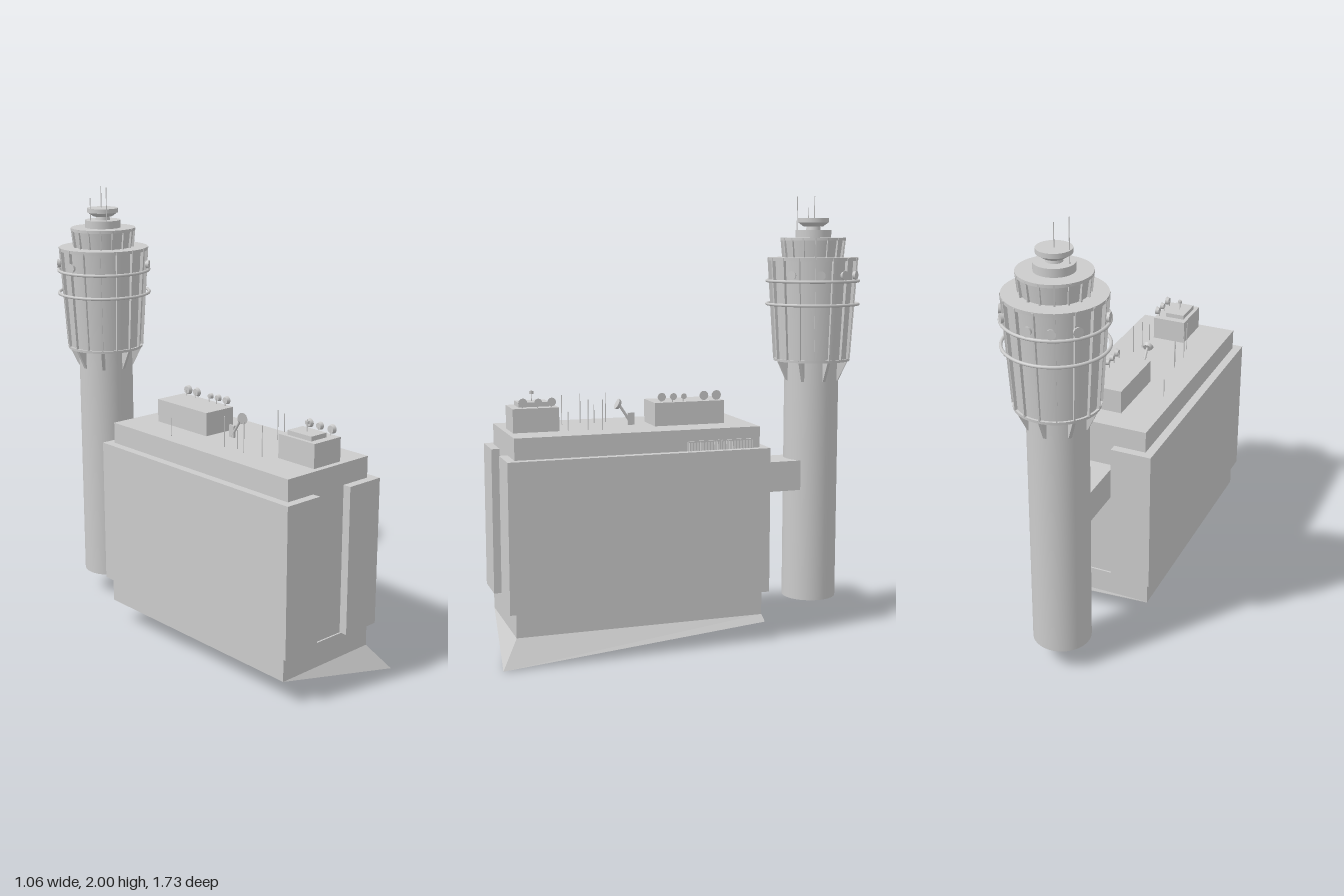
import * as THREE from 'three';

const mat = new THREE.MeshStandardMaterial({ color: 0xcccccc, side: THREE.DoubleSide });

function add(parent, name, geo, x = 0, y = 0, z = 0) {
  const m = new THREE.Mesh(geo, mat);
  m.name = name;
  m.position.set(x, y, z);
  parent.add(m);
  return m;
}
// box given by its bottom height and top height
const block = (p, name, w, y0, y1, d, x = 0, z = 0) =>
  add(p, name, new THREE.BoxGeometry(w, y1 - y0, d), x, (y0 + y1) / 2, z);
// upright cylinder or cone section
const drum = (p, name, r0, r1, y0, y1, x = 0, z = 0, sides = 48) =>
  add(p, name, new THREE.CylinderGeometry(r1, r0, y1 - y0, sides), x, (y0 + y1) / 2, z);
const rod = (p, name, x, z, y0, y1) => drum(p, name, 0.002, 0.002, y0, y1, x, z, 6);

// small drum antenna facing +x
function dish(p, x, y, z, r) {
  const m = add(p, 'dishAntenna', new THREE.CylinderGeometry(r, r * 0.8, 0.016, 16), x, y, z);
  m.rotation.z = -Math.PI / 2;
  return m;
}

// radial plate: profile of [radius, height] points turned to an angle
function plate(p, name, pts, angle, t = 0.007) {
  const s = new THREE.Shape(pts.map(([r, y]) => new THREE.Vector2(r, y)));
  const g = new THREE.ExtrudeGeometry(s, { depth: t, bevelEnabled: false });
  g.translate(0, 0, -t / 2);
  add(p, name, g).rotation.y = angle;
}

function building() {
  const b = new THREE.Group();
  b.name = 'building';

  // sloping foundation, its lower corners moved onto the hillside
  const foot = new THREE.BoxGeometry(0.508, 0.1, 1.13).toNonIndexed();
  const pos = foot.attributes.position;
  for (let i = 0; i < pos.count; i++) {
    const right = pos.getX(i) > 0, front = pos.getZ(i) > 0;
    if (pos.getY(i) > 0) pos.setY(i, 0.112);
    else if (right && front) pos.setXYZ(i, 0.338, 0, 0.641);
    else if (right) pos.setXYZ(i, 0.28, 0.083, -0.573);
    else pos.setY(i, 0.108);
  }
  foot.computeVertexNormals();
  add(b, 'foundation', foot);

  block(b, 'base', 0.508, 0.11, 0.22, 1.13);
  block(b, 'core', 0.47, 0.22, 0.975, 1.115);

  // cladding wraps each long side and leaves a central slot at both ends
  for (const s of [-1, 1]) {
    block(b, 'sideCladding', 0.038, 0.22, 0.88, 1.19, s * 0.254);
    for (const e of [-1, 1])
      block(b, 'endCladding', 0.146, 0.22, 0.88, 0.04, s * 0.163, e * 0.575);
  }
  block(b, 'bridge', 0.176, 0.64, 0.78, 0.32, 0, -0.7);

  // louvred vents below the roof edge
  for (const z0 of [-0.363, -0.522]) {
    block(b, 'ventFrame', 0.008, 0.917, 0.924, 0.146, 0.238, z0 + 0.073);
    for (let i = 0; i <= 20; i++)
      block(b, 'ventSlat', 0.01, 0.88, 0.922, 0.003, 0.238, z0 + i * 0.0073);
  }

  // rooftop plant rooms and their antennas
  block(b, 'rearPlantRoom', 0.16, 0.97, 1.08, 0.33, 0.009, -0.276);
  block(b, 'frontPlantRoom', 0.155, 0.97, 1.08, 0.205, 0.015, 0.43);
  block(b, 'plantRoomHatch', 0.09, 1.08, 1.1, 0.135, 0, 0.43);
  rod(b, 'hatchMast', 0, 0.43, 1.09, 1.15);
  drum(b, 'mastHead', 0.01, 0.01, 1.133, 1.145, 0, 0.43, 12);
  const dishes = [[-0.405, 0.022], [-0.345, 0.021], [-0.25, 0.013], [-0.2, 0.016], [-0.145, 0.019],
    [0.36, 0.019], [0.42, 0.017], [0.488, 0.02]];
  for (const [z, r] of dishes) {
    const x = z > 0 ? 0.085 : 0.078;
    dish(b, x, 1.105, z, r);
    rod(b, 'dishMount', x - 0.008, z, 1.07, 1.105);
  }
  // tilted roof dish on a leaning support
  const big = add(b, 'roofDish', new THREE.CylinderGeometry(0.026, 0.02, 0.014, 20), 0.004, 1.07, 0.035);
  big.rotation.x = 1.1;
  const strut = new THREE.LineCurve3(new THREE.Vector3(0.004, 0.975, -0.03), new THREE.Vector3(0.004, 1.068, 0.03));
  add(b, 'roofDishStrut', new THREE.TubeGeometry(strut, 1, 0.006, 8));
  block(b, 'roofDishFoot', 0.01, 0.97, 1.03, 0.03, 0.004, -0.025);

  // whip antennas between the plant rooms
  [[-0.1, 0.27], [0.1, 0.29], [-0.12, 0.18], [0.1, 0.2], [-0.1, 0.12], [0.12, 0.14], [-0.12, 0.06], [-0.18, -0.22]]
    .forEach(([x, z], i) => rod(b, 'whipAntenna', x, z, 0.97, i % 3 === 1 ? 1.06 : 1.11));
  return b;
}

function tower() {
  const t = new THREE.Group();
  t.name = 'tower';
  drum(t, 'shaft', 0.127, 0.127, 0.11, 1.26);
  drum(t, 'cabin', 0.168, 0.195, 1.25, 1.71);
  drum(t, 'cabinRoof', 0.207, 0.208, 1.705, 1.72);
  drum(t, 'cabinSill', 0.177, 0.178, 1.24, 1.252);
  drum(t, 'upperCabin', 0.132, 0.143, 1.72, 1.8);
  drum(t, 'upperRoof', 0.151, 0.151, 1.797, 1.81);
  drum(t, 'roofCap', 0.083, 0.083, 1.81, 1.845);

  // mullions on both tiers, brackets under every second one
  const n = 16;
  for (let i = 0; i < n; i++) {
    const a = (i / n) * Math.PI * 2;
    plate(t, 'mullion', [[0.16, 1.25], [0.18, 1.25], [0.211, 1.718], [0.185, 1.718]], a);
    plate(t, 'upperMullion', [[0.125, 1.72], [0.143, 1.72], [0.152, 1.808], [0.135, 1.808]], a);
    if (i % 2) plate(t, 'bracket', [[0.12, 1.15], [0.13, 1.15], [0.178, 1.25], [0.12, 1.25]], a, 0.014);
  }
  // hoop rails
  for (const y of [1.505, 1.612]) {
    const ring = add(t, 'hoopRail', new THREE.TorusGeometry(0.213, 0.007, 8, 64), 0, y, 0);
    ring.rotation.x = Math.PI / 2;
  }
  // drum antennas around the upper rail
  for (const deg of [5, 38, 62, 106, 131, 159, 208, 329]) {
    const arm = new THREE.Group();
    arm.name = 'railAntenna';
    arm.rotation.y = THREE.MathUtils.degToRad(deg);
    dish(arm, 0.21, 1.64, 0, 0.021);
    t.add(arm);
  }
  // radar bowl on a short stem
  drum(t, 'radarStem', 0.035, 0.03, 1.84, 1.87, 0, 0, 24);
  drum(t, 'radarBowl', 0.045, 0.07, 1.862, 1.88);
  drum(t, 'radarRim', 0.072, 0.072, 1.88, 1.9);
  rod(t, 'topAntenna', -0.005, -0.005, 1.89, 2);
  rod(t, 'topAntenna', -0.005, 0.075, 1.84, 2);
  rod(t, 'topAntenna', -0.065, 0.017, 1.84, 1.95);
  t.position.set(-0.315, 0, -0.65);
  return t;
}

export function createModel() {
  const root = new THREE.Group();
  root.name = 'controlTower';
  const b = building();
  b.rotation.y = 0.343;
  b.position.set(-0.005, 0, 0.21);
  root.add(b, tower());
  return root;
}
